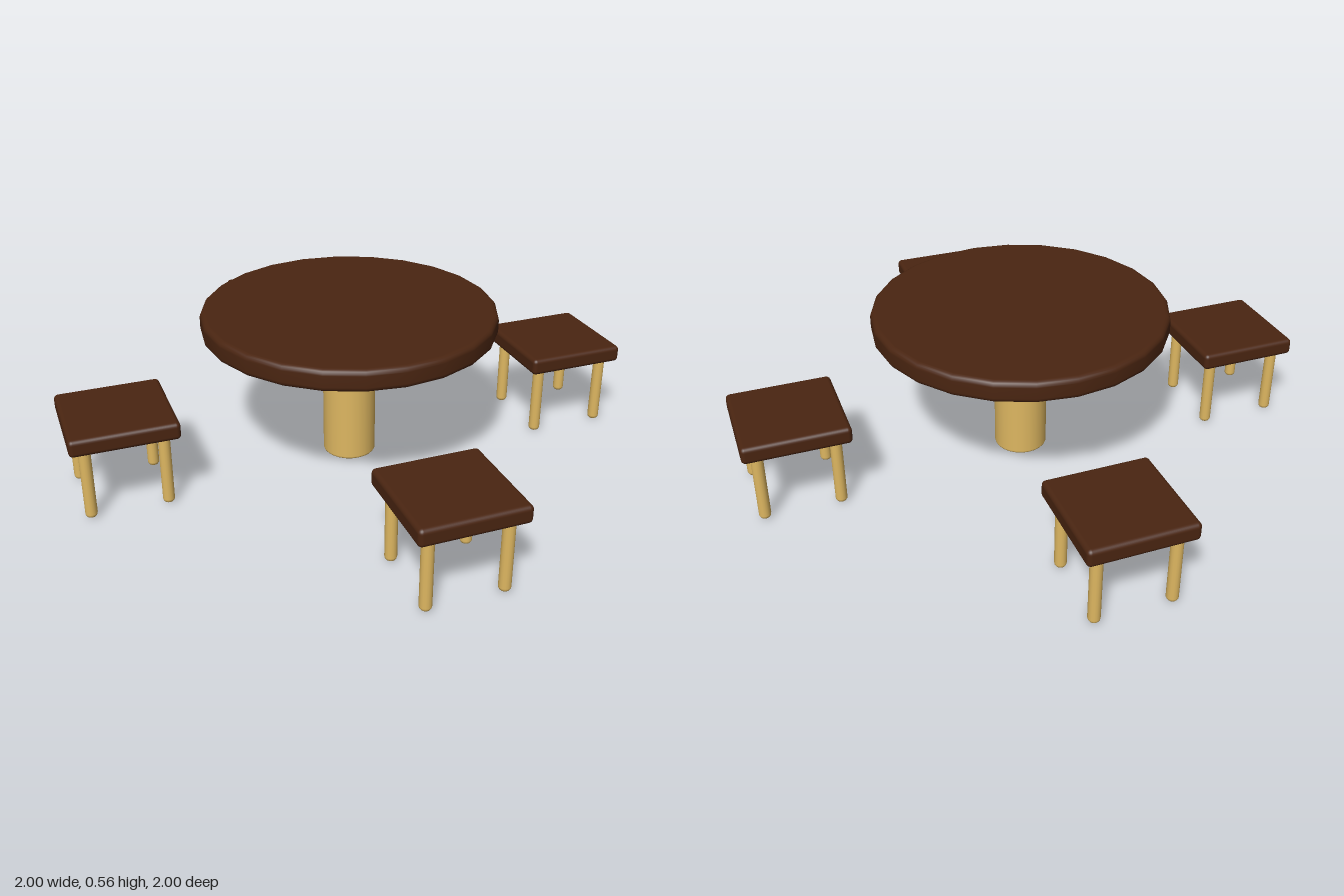
import * as THREE from 'three';
import { RoundedBoxGeometry } from 'three/addons/geometries/RoundedBoxGeometry.js';

const darkWood = new THREE.MeshStandardMaterial({ color: 0x4a2511 });
const paleWood = new THREE.MeshStandardMaterial({ color: 0xdeb761 });
darkWood.name = 'dark wood';
paleWood.name = 'pale wood';

// Upright cylinder with rounded rims, from y0 to y1
function roundedCylinder(radius, y0, y1, bevel, sides) {
  const points = [new THREE.Vector2(0, y0), new THREE.Vector2(radius - bevel - 0.002, y0)];
  const steps = 4;
  for (let i = 0; i <= steps; i++) {
    const a = (i / steps) * Math.PI / 2;
    points.push(new THREE.Vector2(radius - bevel + bevel * Math.sin(a), y0 + bevel - bevel * Math.cos(a)));
  }
  for (let i = 0; i <= steps; i++) {
    const a = (i / steps) * Math.PI / 2;
    points.push(new THREE.Vector2(radius - bevel + bevel * Math.cos(a), y1 - bevel + bevel * Math.sin(a)));
  }
  points.push(new THREE.Vector2(radius - bevel - 0.002, y1), new THREE.Vector2(0, y1));
  return new THREE.LatheGeometry(points, sides);
}

function addMesh(parent, name, geometry, material, x = 0, y = 0, z = 0) {
  const mesh = new THREE.Mesh(geometry, material);
  mesh.name = name;
  mesh.position.set(x, y, z);
  parent.add(mesh);
}

export function createModel() {
  const model = new THREE.Group();
  model.name = 'tableWithStools';

  // Round table on a single pedestal
  const table = new THREE.Group();
  table.name = 'table';
  addMesh(table, 'tableTop', roundedCylinder(0.51, 0.48, 0.555, 0.018, 24), darkWood);
  addMesh(table, 'pedestal', roundedCylinder(0.093, 0, 0.49, 0.01, 24), paleWood);
  model.add(table);

  // Four square stools around the table
  const seat = new RoundedBoxGeometry(0.357, 0.06, 0.357, 3, 0.015);
  const leg = roundedCylinder(0.02, 0.003, 0.262, 0.015, 16);
  for (let i = 0; i < 4; i++) {
    const stool = new THREE.Group();
    stool.name = 'stool' + (i + 1);
    const angle = i * Math.PI / 2;
    stool.position.set(0.8215 * Math.sin(angle), 0, 0.8215 * Math.cos(angle));
    stool.rotation.y = angle;
    addMesh(stool, 'seat', seat, darkWood, 0, 0.285, 0);
    for (const x of [-0.128, 0.128]) {
      for (const z of [-0.128, 0.128]) addMesh(stool, 'leg', leg, paleWood, x, 0, z);
    }
    model.add(stool);
  }
  return model;
}
